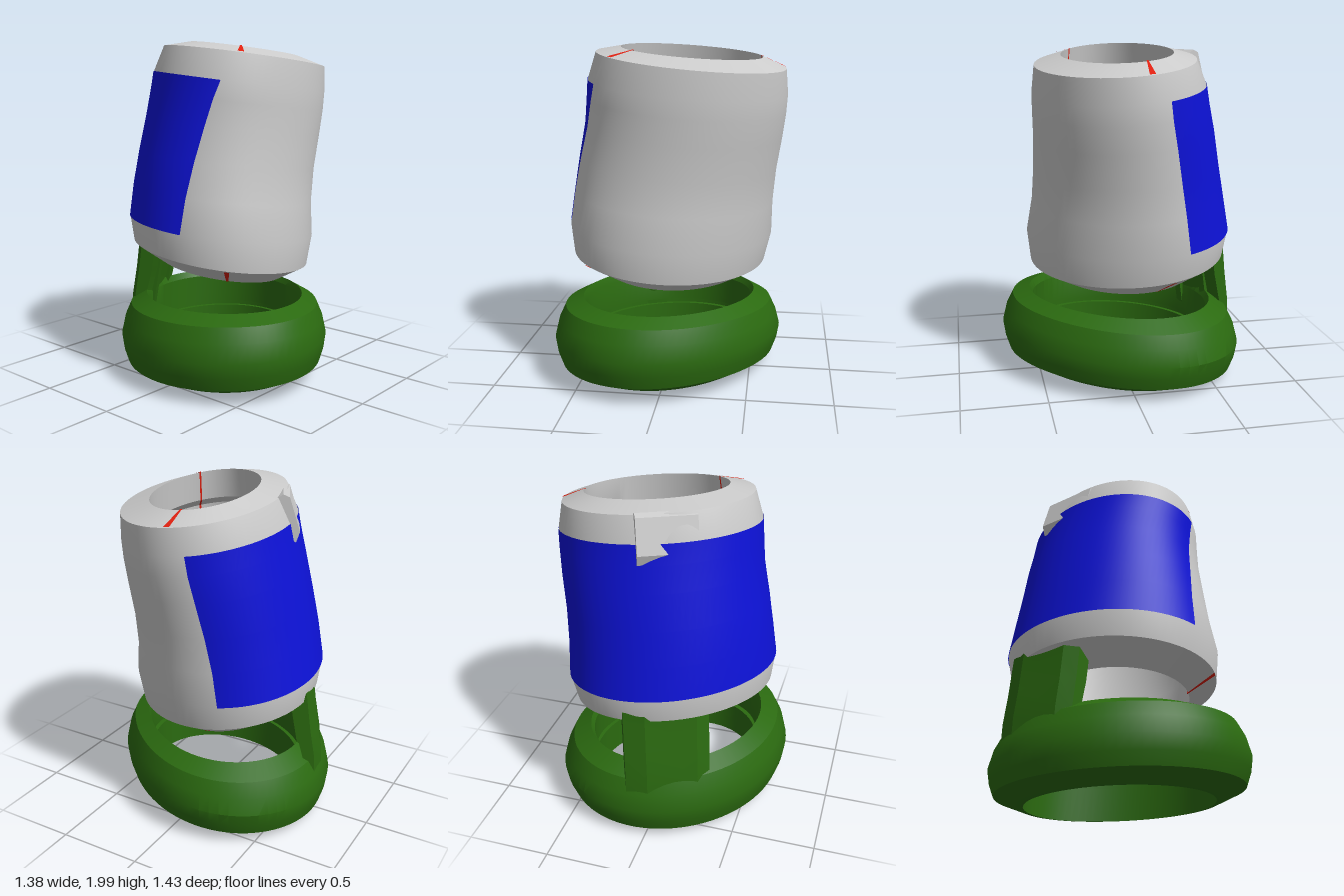
import * as THREE from 'three';
import { toCreasedNormals } from 'three/addons/utils/BufferGeometryUtils.js';

const TAU = Math.PI * 2, RAD = Math.PI / 180;
const mat = (color) => new THREE.MeshStandardMaterial({ color, side: THREE.DoubleSide });

// Point at angle t on a tilted, skewed ellipse, optionally flattened on its +x+z side:
// [y, cx, cz, hx, hz, slopeX, slopeZ, skew, flat]
function ringPoint([y, cx, cz, hx, hz, sx, sz, skew = -0.15, flat = 0], t) {
  const f = 1 - flat * Math.max(0, Math.cos(t - Math.PI / 4)) ** 3;
  const dx = f * hx * Math.cos(t), dz = f * hz * Math.sin(t + skew);
  return [cx + dx, y + sx * dx + sz * dz, cz + dz];
}

// Skin a list of point rows
function skin(rows, crease) {
  const n = rows[0].length, index = [];
  for (let i = 0; i < rows.length - 1; i++) {
    for (let j = 0; j < n - 1; j++) {
      const a = i * n + j, b = a + n;
      index.push(a, b, a + 1, a + 1, b, b + 1);
    }
  }
  const geo = new THREE.BufferGeometry();
  geo.setAttribute('position', new THREE.Float32BufferAttribute(rows.flat(2), 3));
  geo.setIndex(index);
  return toCreasedNormals(geo, crease);
}

// Loft through rings; from/to give the angle range in degrees per ring
function loft(rings, from = () => 0, to = () => 360, n = 72) {
  return skin(rings.map((r, i) => {
    const a = from(i) * RAD, b = to(i) * RAD;
    return Array.from({ length: n + 1 }, (_, j) => {
      const t = a + (b - a) * j / n;
      return ringPoint(r, Math.abs(t - TAU) < 1e-9 ? 0 : t);
    });
  }), 0.45);
}

// Copies of a ring, grown sideways or raised
const grow = ([y, cx, cz, hx, hz, ...rest], d) => [y, cx, cz, hx + d, hz + d, ...rest];
const raise = ([y, ...rest], d) => [y + d, ...rest];

export function createModel() {
  const model = new THREE.Group();
  const grey = mat(0xcccccc), blue = mat(0x0d12d8), green = mat(0x2b6a10), red = mat(0xe02010);
  const add = (name, geo, material, parent = model) => {
    const mesh = new THREE.Mesh(geo, material);
    mesh.name = name;
    parent.add(mesh);
    return mesh;
  };

  // Sleeve wall stations, bottom to top
  const wall = [
    [0.90, 0.005, -0.047, 0.607, 0.597, -0.09, -0.07, -0.14],
    [1.10, 0.020, -0.045, 0.595, 0.563, -0.09, -0.07, -0.12],
    [1.30, 0.045, -0.030, 0.587, 0.538, -0.09, -0.07, -0.10],
    [1.50, 0.080, -0.010, 0.583, 0.518, -0.09, -0.08, -0.08],
    [1.65, 0.097, 0.010, 0.585, 0.503, -0.09, -0.08, -0.07],
    [1.76, 0.105, 0.022, 0.584, 0.493, -0.09, -0.09, -0.07],
  ];
  const capOuter = [1.91, 0.125, 0.045, 0.552, 0.456, -0.10, -0.075, -0.06];
  const bottomOuter = [0.74, -0.005, -0.045, 0.578, 0.575, -0.10, -0.10];
  // Bore stations, top to bottom
  const bore = [
    [1.955, 0.130, 0.035, 0.410, 0.308, -0.09, -0.08],
    [1.78, 0.120, 0.025, 0.430, 0.335, -0.09, -0.08],
    [1.74, 0.110, 0.020, 0.460, 0.380, -0.09, -0.08],
    [1.60, 0.090, 0.000, 0.475, 0.400, -0.09, -0.08],
    [1.00, 0.010, -0.045, 0.490, 0.470, -0.09, -0.08],
    [0.85, 0.000, -0.045, 0.480, 0.460, -0.10, -0.10, -0.15, 0.06],
    [0.64, 0.010, -0.030, 0.430, 0.415, -0.11, -0.10, -0.15, 0.08],
  ];

  const sleeve = new THREE.Group();
  sleeve.name = 'sleeve';
  model.add(sleeve);

  // Shell: up the wall, over the lip, down the bore and back out under the bottom
  add('sleeveShell', loft([...wall, capOuter, ...bore, bottomOuter, wall[0]]), grey, sleeve);

  // Blue panel laid over the back half of the wall
  add('backPanel', loft(wall.map((r) => grow(r, 0.003)), (i) => 167 - 3.5 * i, () => 343, 48), blue, sleeve);

  // The panel seen from inside, either side of a grey strip
  for (const [a, b] of [[175, 212], [240, 285]]) {
    add('innerPanel', loft(bore.slice(2, 5).map((r) => grow(r, -0.005)), () => a, () => b, 16), blue, sleeve);
  }

  // Red seams: a notch on each lip joined by a thin line down the bore
  const seamRings = [raise(capOuter, 0.005), raise(grow(bore[0], -0.006), 0.005),
    ...bore.slice(1, 6).map((r) => grow(r, -0.006)),
    raise(grow(bore[6], -0.006), -0.005), raise(bottomOuter, -0.005)];
  const halfWidth = [2.2, 0.9, 0.9, 0.9, 0.9, 0.9, 0.9, 0.9, 1.6];
  for (const t of [140, 351]) {
    add('seam', loft(seamRings, (i) => t - halfWidth[i], (i) => t + halfWidth[i], 2), red, sleeve);
  }

  // Base ring, flattened a little on one side
  add('baseRing', loft([
    [0.02, 0, 0, 0.50, 0.52, 0.01, 0.035],
    [0.025, 0, 0, 0.53, 0.55, 0.01, 0.035],
    [0.085, 0, 0, 0.655, 0.685, 0.015, 0.045],
    [0.16, 0, 0, 0.682, 0.71, 0.01, 0.045],
    [0.24, 0, 0, 0.695, 0.722, 0, 0.045],
    [0.34, 0, 0, 0.67, 0.697, -0.01, 0.045],
    [0.425, 0, 0, 0.63, 0.655, -0.015, 0.045],
    [0.48, 0, 0, 0.525, 0.55, -0.01, 0.03],
    [0.44, 0, 0, 0.505, 0.53, 0, 0.03],
    [0.26, 0, 0, 0.505, 0.53, 0, 0.03],
    [0.26, 0, 0, 0.525, 0.55, 0, 0.03],
    [0.23, 0, 0, 0.525, 0.55, 0, 0.03],
    [0.23, 0, 0, 0.50, 0.52, 0, 0.03],
    [0.02, 0, 0, 0.50, 0.52, 0.01, 0.035],
  ].map((r) => [...r, -0.15, 0.08])), green);

  // Frame for the bracket and clip: local x along the wall, local +z outward at the back
  const mount = new THREE.Group();
  mount.name = 'backFittings';
  mount.rotation.y = Math.PI + Math.atan2(0.435, 0.9);
  model.add(mount);

  // Bracket with bevelled outer corners: [y, inner distance, corner distance]
  const section = ([y, inner, outer]) => [[-0.25, inner], [-0.25, outer], [-0.13, outer + 0.045],
    [0.17, outer + 0.045], [0.25, outer], [0.25, inner], [-0.25, inner]].map(([x, d]) => [x - 0.145, y, d]);
  const stations = [[0.20, 0.51, 0.58], [0.42, 0.50, 0.57], [0.60, 0.455, 0.54], [0.84, 0.42, 0.51]];
  const rows = stations.map(section);
  const capRow = (row) => row.map(() => [-0.145, row[0][1], 0.5]);
  add('bracket', skin([capRow(rows[0]), ...rows, capRow(rows[3])], 0.2), green, mount);

  // Ribs on the inside of the bracket
  for (const x of [-0.27, -0.03]) {
    const rib = add('bracketRib', new THREE.BoxGeometry(0.05, 0.42, 0.03), green, mount);
    rib.position.set(x, 0.52, 0.472);
    rib.rotation.x = -0.17;
  }

  // Clip on the upper back of the sleeve, a side profile extruded across its width
  const profile = [[-0.05, 1.93], [0.01, 1.965], [0.045, 1.95], [0.105, 1.76], [0.085, 1.70], [0.04, 1.73], [-0.05, 1.76]];
  const clipGeo = new THREE.ExtrudeGeometry(new THREE.Shape(profile.map((p) => new THREE.Vector2(...p))),
    { depth: 0.333, bevelEnabled: false });
  clipGeo.translate(0, 0, -0.1665).rotateY(-Math.PI / 2);
  const clip = add('clip', clipGeo, grey, mount);
  clip.position.set(-0.114, 0, 0.335);

  return model;
}
